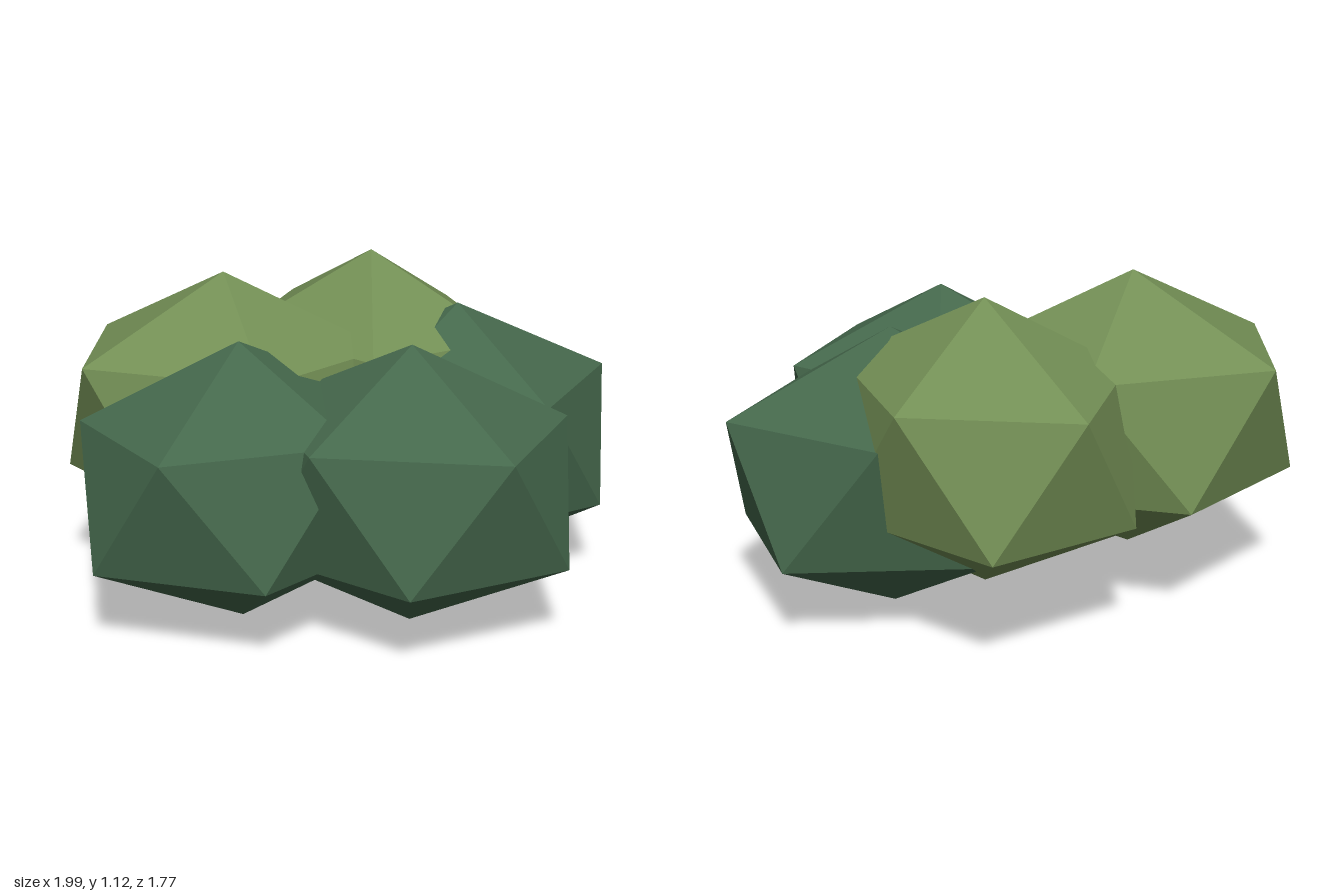
import * as THREE from 'three';

// Low-poly bush: five overlapping icosahedral clumps standing on their points.
export function createModel() {
  const group = new THREE.Group();
  group.name = 'bush';

  const darkLeaf = new THREE.MeshStandardMaterial({ color: 0x45684c });
  darkLeaf.name = 'dark leaf green';
  const lightLeaf = new THREE.MeshStandardMaterial({ color: 0x738f55 });
  lightLeaf.name = 'light leaf green';
  darkLeaf.flatShading = lightLeaf.flatShading = true;

  // Icosahedron with a vertex up and an upper-ring vertex along +x, then stretched
  const clump = new THREE.IcosahedronGeometry(1, 0);
  clump.rotateX(-Math.atan((1 + Math.sqrt(5)) / 2));
  clump.rotateY(Math.PI / 2);
  clump.scale(0.625, 0.488, 0.528);

  // name, material, centre, turn in degrees from +x towards +z
  const clumps = [
    ['frontClump', darkLeaf, [0.04, 0.488, 0.36], 231.5],
    ['leftClump', darkLeaf, [0.45, 0.488, -0.02], 12.5],
    ['rightClump', darkLeaf, [-0.44, 0.488, 0.05], -4],
    ['backRightClump', lightLeaf, [-0.33, 0.635, -0.29], 31],
    ['backLeftClump', lightLeaf, [0.275, 0.635, -0.33], 267],
  ];
  for (const [name, material, centre, turn] of clumps) {
    const mesh = new THREE.Mesh(clump, material);
    mesh.name = name;
    mesh.position.set(...centre);
    mesh.rotation.y = -THREE.MathUtils.degToRad(turn);
    group.add(mesh);
  }
  return group;
}
